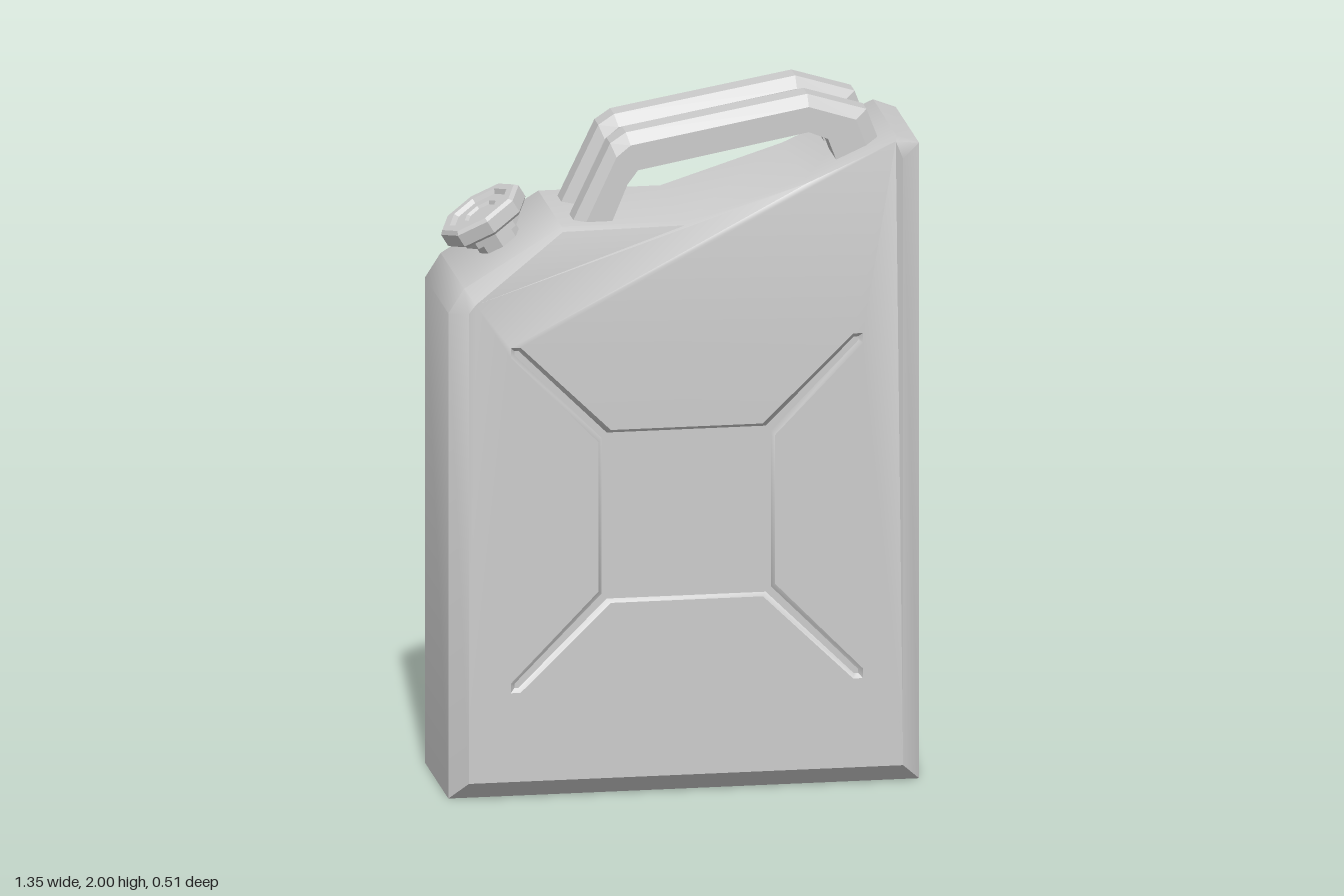
import * as THREE from 'three';
import { toCreasedNormals } from 'three/addons/utils/BufferGeometryUtils.js';

// Small collector for triangles and for bands between equal loops of [x, y, z]
function builder() {
  const pos = [];
  const tri = (a, b, c, flip) => pos.push(...a, ...(flip ? c : b), ...(flip ? b : c));
  const band = (p, q, flip = false, skipFirst = false) => {
    for (let i = skipFirst ? 1 : 0; i < p.length; i++) {
      const j = (i + 1) % p.length;
      tri(p[i], p[j], q[j], flip);
      tri(p[i], q[j], q[i], flip);
    }
  };
  // Fill of a contour, optionally with one hole
  const fill = (outer, hole, flip) => {
    const v2 = (l) => l.map((p) => new THREE.Vector2(p[0], p[1]));
    const all = [...outer, ...hole];
    for (const [a, b, c] of THREE.ShapeUtils.triangulateShape(v2(outer), hole.length ? [v2(hole)] : [])) {
      tri(all[a], all[b], all[c], flip);
    }
  };
  const geometry = () => {
    const g = new THREE.BufferGeometry();
    g.setAttribute('position', new THREE.Float32BufferAttribute(pos, 3));
    g.computeVertexNormals();
    return g;
  };
  return { tri, band, fill, geometry };
}

// Square with four diagonal arms: h half side, t arm reach, a arm width
function crossLoop(h, t, a, z) {
  const corner = [[h, h - a], [t, t - a * 0.8], [t, t], [t - a * 0.8, t], [h - a, h]];
  const loop = [];
  for (let k = 0; k < 4; k++) {
    for (const [x, y] of corner) {
      const [rx, ry] = [[x, y], [-y, x], [-x, -y], [y, -x]][k];
      loop.push([rx, ry + 0.82, z]);
    }
  }
  return loop;
}

function bodyGeometry() {
  const b = builder();
  // Side outline, counter-clockwise from the bottom corner
  const rim = [[-0.675, 0], [0.675, 0], [0.675, 1.86], [0.61, 1.885], [0.35, 1.77],
    [0, 1.66], [-0.35, 1.66], [-0.63, 1.49], [-0.675, 1.42]];
  // Front panel edge blends into the top, back panel edge has a full bevel
  const front = [[-0.625, 0.055, 0.255], [0.62, 0.055, 0.255], [0.62, 1.83, 0.255],
    [0.602, 1.877, 0.237], [0.35, 1.765, 0.232], [0, 1.655, 0.226], [-0.35, 1.65, 0.222],
    [-0.605, 1.455, 0.253], [-0.625, 1.43, 0.255]];
  const back = [[-0.625, 0.055], [0.62, 0.055], [0.62, 1.82], [0.605, 1.835], [0.36, 1.718],
    [0.005, 1.607], [-0.36, 1.607], [-0.605, 1.455], [-0.625, 1.43]].map(([x, y]) => [x, y, -0.255]);
  const at = (z) => rim.map(([x, y]) => [x, y, z]);

  b.band(at(-0.2), at(0.2), false, true);

  // Panels with the pressed-in cross
  for (const [edge, s] of [[front, 1], [back, -1]]) {
    const flip = s < 0;
    const outer = crossLoop(0.253, 0.505, 0.035, 0.255 * s);
    const inner = crossLoop(0.243, 0.493, 0.015, 0.243 * s);
    b.band(at(0.2 * s), edge, flip);
    b.fill(edge, outer, flip);
    b.band(outer, inner, flip);
    b.fill(inner, [], flip);
  }

  // Underside with a shallow recess
  const rect = (x, z, y) => [[-x, y, -z], [x, y, -z], [x, y, z], [-x, y, z]];
  const floor = rect(0.625, 0.15, 0.03);
  b.band(rect(0.675, 0.2, 0), rect(0.625, 0.15, 0));
  b.band(rect(0.625, 0.15, 0), floor);
  b.tri(floor[0], floor[1], floor[2]);
  b.tri(floor[0], floor[2], floor[3]);

  return toCreasedNormals(b.geometry(), THREE.MathUtils.degToRad(40));
}

function handleGeometry() {
  const b = builder();
  // Stations along the grip: outer x, y, then inner x, y
  const stations = [
    [-0.325, 1.62, -0.215, 1.62], [-0.2, 1.88, -0.155, 1.765], [-0.155, 1.91, -0.125, 1.805],
    [0.365, 2.0, 0.365, 1.895], [0.535, 1.948, 0.42, 1.873], [0.595, 1.79, 0.47, 1.74],
  ];
  const loops = stations.map(([ox, oy, ix, iy]) => {
    const sx = ox + (ix - ox) * 0.3, sy = oy + (iy - oy) * 0.3;
    return [[ox, oy, -0.033], [sx, sy, -0.062], [ix, iy, -0.062],
      [ix, iy, 0.062], [sx, sy, 0.062], [ox, oy, 0.033]];
  });
  for (let i = 1; i < loops.length; i++) b.band(loops[i], loops[i - 1]);
  return b.geometry();
}

export function createModel() {
  const smooth = new THREE.MeshStandardMaterial({ color: 0xcccccc });
  const flat = new THREE.MeshStandardMaterial({ color: 0xcccccc, flatShading: true });
  const model = new THREE.Group();
  const add = (parent, name, geometry, material) => {
    const mesh = new THREE.Mesh(geometry, material);
    mesh.name = name;
    parent.add(mesh);
    return mesh;
  };

  add(model, 'body', bodyGeometry(), smooth);

  // Pair of carrying handles
  const grip = handleGeometry();
  add(model, 'leftHandle', grip, flat).position.z = 0.102;
  add(model, 'rightHandle', grip, flat).position.z = -0.102;

  // Eight-sided spout and screw cap, square to the sloping shoulder
  const lathe = (points) => new THREE.LatheGeometry(points.map(([r, y]) => new THREE.Vector2(r, y)), 8);
  const spout = new THREE.Group();
  spout.name = 'spout';
  spout.position.set(-0.495, 1.572, 0);
  spout.rotation.z = Math.atan2(0.17, 0.28);
  add(spout, 'neck', lathe([[0.065, -0.03], [0.065, 0.028], [0.088, 0.032], [0.088, 0.065]]), flat);
  add(spout, 'cap', lathe([[0, 0.062], [0.122, 0.062], [0.13, 0.07], [0.13, 0.108], [0.12, 0.118],
    [0.095, 0.118], [0.085, 0.106], [0.052, 0.106], [0.044, 0.098], [0, 0.098]]), flat);
  model.add(spout);

  return model;
}
